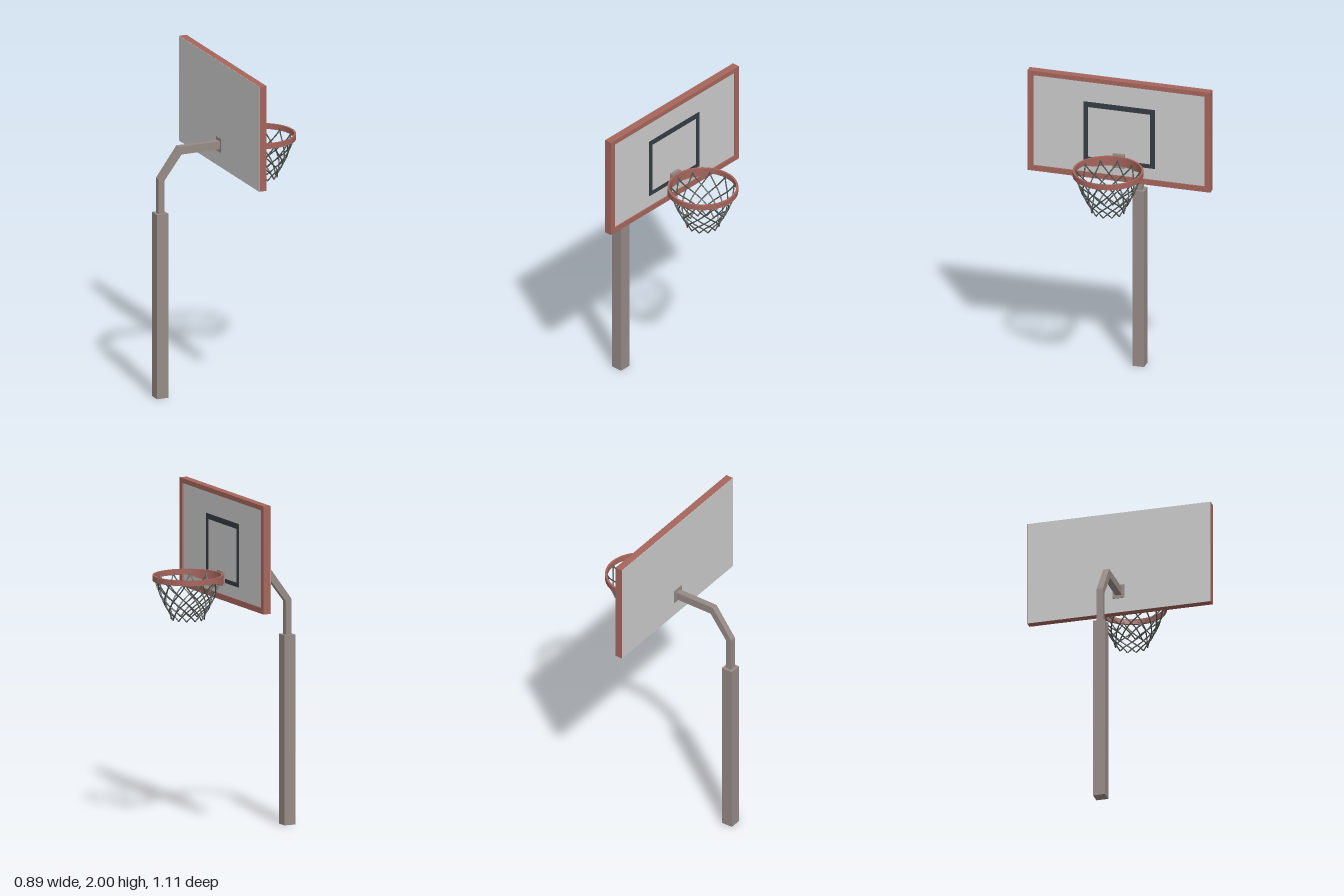
import * as THREE from 'three';
import { mergeGeometries, toCreasedNormals } from 'three/addons/utils/BufferGeometryUtils.js';

const mat = (color) => new THREE.MeshStandardMaterial({ color });
const steel = mat(0x968a86), red = mat(0xa5655c), grey = mat(0xcccccc);
const dark = mat(0x363c44), cord = mat(0x50544f);

const RIM_X = 0.237, RIM_R = 0.207;

export function createModel() {
  const group = new THREE.Group();
  const add = (name, geometry, material) => {
    const mesh = new THREE.Mesh(geometry, material);
    mesh.name = name;
    group.add(mesh);
    return mesh;
  };
  // Box given by its limits on x, y and its half width on z
  const box = (name, x0, x1, y0, y1, halfZ, material) =>
    add(name, new THREE.BoxGeometry(x1 - x0, y1 - y0, halfZ * 2)
      .translate((x0 + x1) / 2, (y0 + y1) / 2, 0), material);
  // Rectangular frame in the y-z plane, extruded along x
  const frame = (name, x0, x1, outer, inner, material) => {
    const rect = ([w, y0, y1]) => [[-w, y0], [w, y0], [w, y1], [-w, y1]]
      .map(([x, y]) => new THREE.Vector2(x, y));
    const shape = new THREE.Shape(rect(outer));
    shape.holes.push(new THREE.Path(rect(inner)));
    const g = new THREE.ExtrudeGeometry(shape, { depth: x1 - x0, bevelEnabled: false });
    return add(name, g.rotateY(Math.PI / 2).translate(x0, 0, 0), material);
  };

  // Post and bent arm
  box('post', -0.445, -0.373, 0, 1.125, 0.036, steel);
  const armShape = new THREE.Shape([
    [-0.428, 1.1], [-0.39, 1.1], [-0.39, 1.323], [-0.28, 1.469],
    [-0.02, 1.469], [-0.02, 1.517], [-0.296, 1.517], [-0.428, 1.335],
  ].map(([x, y]) => new THREE.Vector2(x, y)));
  add('arm', new THREE.ExtrudeGeometry(armShape, { depth: 0.038, bevelEnabled: false })
    .translate(0, 0, -0.019), steel);
  box('bracket', -0.034, 0.031, 1.45, 1.535, 0.036, steel);

  // Backboard: back sheet, recessed panel, border and target square
  box('backSheet', -0.03, -0.028, 1.36, 2, 0.556, grey);
  box('panel', -0.028, 0.01, 1.38, 1.98, 0.54, grey);
  frame('boardBorder', -0.028, 0.018, [0.557, 1.36, 2], [0.523, 1.394, 1.972], red);
  frame('targetSquare', 0.008, 0.014, [0.217, 1.466, 1.842], [0.19, 1.49, 1.81], dark);

  // Rim: flat band that grows deeper next to the board
  const top = 1.526, bottom = 1.493, inner = RIM_R - 0.012;
  const rim = new THREE.LatheGeometry([
    [inner, bottom], [RIM_R, bottom], [RIM_R, top], [inner, top], [inner, bottom],
  ].map(([r, y]) => new THREE.Vector2(r, y)), 48);
  const p = rim.attributes.position;
  for (let i = 0; i < p.count; i++) {
    if (p.getY(i) > (top + bottom) / 2) continue;
    const c = -p.getX(i) / Math.hypot(p.getX(i), p.getZ(i));
    p.setY(i, bottom - 0.025 * THREE.MathUtils.smoothstep(c, 0.42, 0.82));
  }
  rim.translate(RIM_X, 0, 0);
  add('rim', toCreasedNormals(rim, 0.6), red);

  // Net: two mirrored families of twisting cords on a tapering profile
  const profile = new THREE.CatmullRomCurve3([
    [0.196, 1.505], [0.166, 1.42], [0.13, 1.34], [0.102, 1.29], [0.096, 1.262],
  ].map(([r, y]) => new THREE.Vector3(r, y, 0)));
  const COUNT = 12, cords = [];
  for (let i = 0; i < COUNT; i++) {
    for (const dir of [-1, 1]) {
      const pts = [];
      for (let k = 0; k <= 14; k++) {
        const t = k / 14, q = profile.getPointAt(t);
        const a = (i / COUNT) * Math.PI * 2 + dir * (Math.PI / 2) * Math.pow(t, 1.5);
        pts.push(new THREE.Vector3(RIM_X + q.x * Math.cos(a), q.y, q.x * Math.sin(a)));
      }
      cords.push(new THREE.TubeGeometry(new THREE.CatmullRomCurve3(pts), 28, 0.004, 5));
    }
  }
  add('net', mergeGeometries(cords), cord);

  return group;
}
